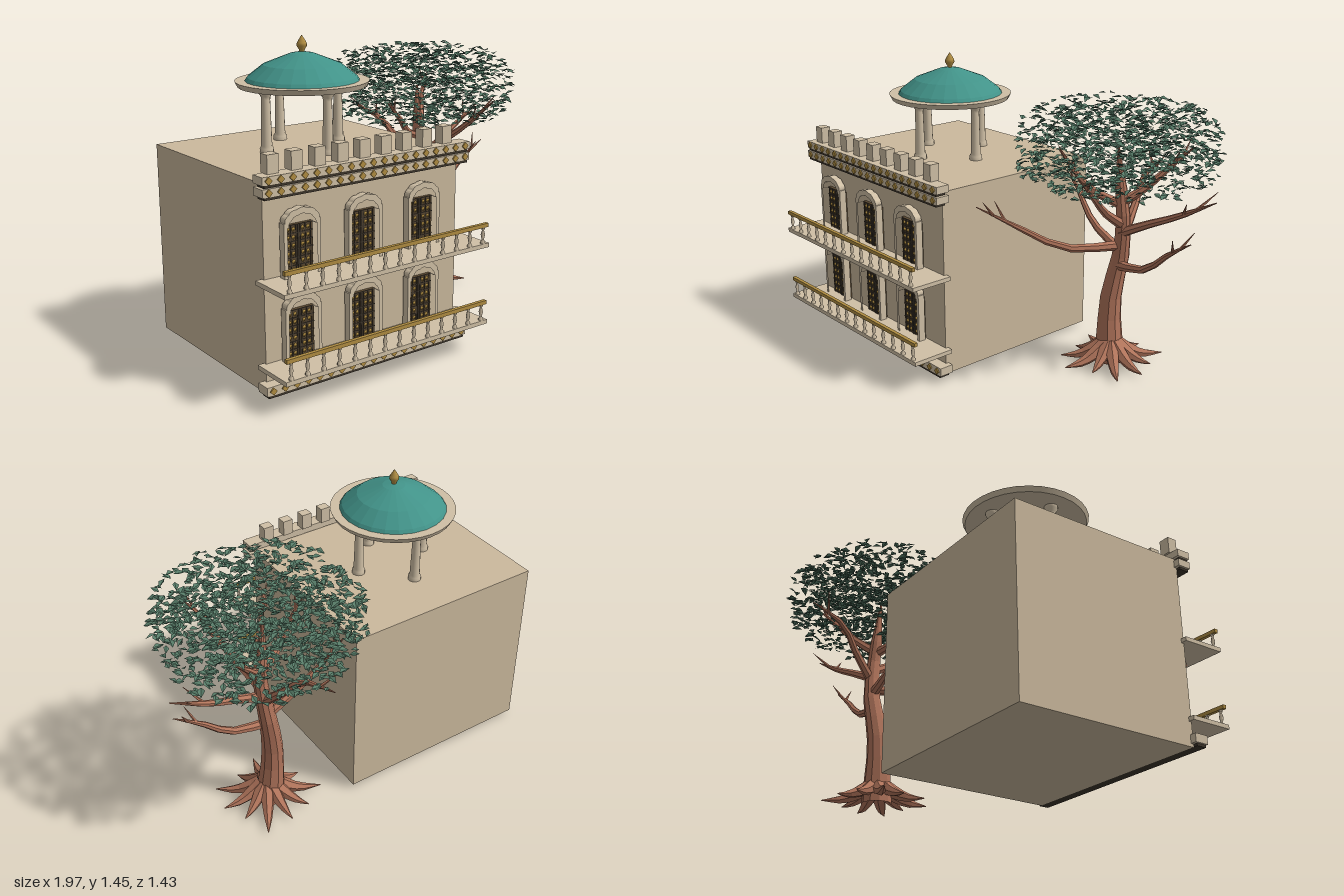
import * as THREE from 'three';
import { mergeGeometries } from 'three/addons/utils/BufferGeometryUtils.js';

const mat = (name, color, extra = {}) => new THREE.MeshStandardMaterial({ name, color, ...extra });

export function createModel() {
  const M = {
    stone: mat('sandstone', 0xcbb99d),
    trim: mat('pale stone', 0xd0c0a6),
    gold: mat('gold', 0xb08d42),
    wood: mat('dark wood', 0x5a4830),
    dark: mat('dark joint', 0x3d352b),
    teal: mat('teal dome', 0x429389, { flatShading: true }),
    bark: mat('bark', 0xb0745b, { flatShading: true }),
    leaf: mat('leaf green', 0x587d69, { flatShading: true, side: THREE.DoubleSide }),
  };
  const root = new THREE.Group();
  root.name = 'pavilionHouseWithTree';
  const group = (name, parent = root) => {
    const g = new THREE.Group();
    g.name = name;
    parent.add(g);
    return g;
  };
  const add = (parent, name, geo, material, x = 0, y = 0, z = 0) => {
    const m = new THREE.Mesh(geo, material);
    m.name = name;
    m.position.set(x, y, z);
    parent.add(m);
    return m;
  };
  // Box given by its limits on each axis
  const box = (parent, name, material, x0, x1, y0, y1, z0, z1) =>
    add(parent, name, new THREE.BoxGeometry(x1 - x0, y1 - y0, z1 - z0), material,
      (x0 + x1) / 2, (y0 + y1) / 2, (z0 + z1) / 2);
  const lathe = (pts, sides) =>
    new THREE.LatheGeometry(pts.map(([r, y]) => new THREE.Vector2(r, y)), sides);

  // House body
  const house = group('house');
  box(house, 'body', M.stone, -0.97, 0.07, 0.02, 0.93, -0.39, 0.53);

  // Decorated bands with diamonds
  const diamond = new THREE.CylinderGeometry(0.017, 0.017, 0.009, 4).rotateX(Math.PI / 2);
  for (const [y0, y1] of [[0.035, 0.075], [0.885, 0.92], [0.935, 0.97]]) {
    const band = group('frieze', house);
    box(band, 'friezeBand', M.trim, -1, 0.1, y0, y1, 0.515, 0.585);
    box(band, 'friezeJoint', M.dark, -0.99, 0.09, y0 - 0.012, y0, 0.53, 0.582);
    for (let i = 0; i < 19; i++)
      add(band, 'friezeDiamond', diamond, M.gold, -0.972 + i * 0.058, (y0 + y1) / 2, 0.587);
  }

  // Battlements
  for (let i = 0; i < 9; i++) {
    const x = -0.93 + i * 0.115;
    box(house, 'merlon', M.trim, x - 0.027, x + 0.027, 0.97, 1.05, 0.505, 0.555);
  }

  // Scalloped arch outline, w = half width, top = crown height
  const archPoints = (path, w, spring, top, step) => {
    path.moveTo(-w, 0);
    path.lineTo(-w, spring);
    path.lineTo(-w + step, spring);
    const a = w - step, h = top - spring, lobes = 5;
    const at = (i) => {
      const t = Math.PI * (1 - i / lobes);
      return [Math.cos(t) * a, spring + Math.sin(t) * h * 0.9];
    };
    for (let i = 0; i < lobes; i++) {
      const t = Math.PI * (1 - (i + 0.5) / lobes), [x, y] = at(i + 1);
      path.quadraticCurveTo(Math.cos(t) * a * 1.12, spring + Math.sin(t) * h * 1.1, x, y);
    }
    path.lineTo(w, spring);
    path.lineTo(w, 0);
    path.closePath();
    return path;
  };
  const frameShape = archPoints(new THREE.Shape(), 0.09, 0.235, 0.295, 0.006);
  frameShape.holes.push(archPoints(new THREE.Path(), 0.073, 0.215, 0.268, 0.008));
  const frameGeo = new THREE.ExtrudeGeometry(frameShape, { depth: 0.035, bevelEnabled: false, curveSegments: 5 });
  const stud = new THREE.CylinderGeometry(0.003, 0.009, 0.008, 6).rotateX(Math.PI / 2);

  // Pedestal-shaped baluster
  const balusterGeo = lathe([[0.011, 0], [0.011, 0.01], [0.005, 0.018], [0.01, 0.042], [0.005, 0.062], [0.01, 0.076]], 8);

  for (const floor of [0.155, 0.525]) {
    const storey = group('storey', house);
    // Doors and arches
    for (const x of [-0.81, -0.485, -0.16]) {
      const door = group('archedDoor', storey);
      door.position.set(x, floor, 0);
      box(door, 'doorPanel', M.wood, -0.073, 0.073, 0, 0.215, 0.53, 0.545);
      add(door, 'archFrame', frameGeo, M.trim, 0, 0, 0.545);
      box(door, 'doorSplit', M.dark, -0.004, 0.004, 0, 0.215, 0.545, 0.549);
      for (const s of [-1, 1])
        for (const e of [0.011, 0.036, 0.062])
          box(door, 'doorBar', M.dark, s * e - 0.002, s * e + 0.002, 0, 0.215, 0.545, 0.548);
      for (let r = 0; r < 6; r++) {
        const y = 0.02 + r * 0.035;
        box(door, 'doorRail', M.dark, -0.073, 0.073, y + 0.016, y + 0.02, 0.545, 0.548);
        for (const sx of [-0.049, -0.023, 0.023, 0.049])
          add(door, 'doorStud', stud, M.gold, sx, y, 0.549);
      }
    }
    // Balcony
    const balcony = group('balcony', storey);
    box(balcony, 'balconySlab', M.trim, -1, 0.1, floor - 0.02, floor, 0.515, 0.73);
    box(balcony, 'handrail', M.gold, -0.995, 0.095, floor + 0.076, floor + 0.094, 0.711, 0.729);
    for (let i = 0; i < 14; i++)
      add(balcony, 'baluster', balusterGeo, M.trim, -0.97 + i * 0.08, floor, 0.72);
    // Sloping wooden struts
    for (const x of [-0.82, -0.085]) {
      const strut = add(balcony, 'strut', new THREE.BoxGeometry(0.03, 0.03, 0.145), M.bark, x, floor - 0.054, 0.61);
      strut.rotation.x = -0.38;
    }
  }

  // Rooftop pavilion
  const pavilion = group('roofPavilion');
  pavilion.position.set(-0.455, 0, 0.065);
  const columnGeo = lathe([[0.032, 0.93], [0.032, 0.95], [0.025, 0.96], [0.02, 1.17], [0.022, 1.185], [0.033, 1.2], [0.033, 1.217]], 12);
  for (const [x, z] of [[0.197, 0], [-0.197, 0], [0, 0.197], [0, -0.197]])
    add(pavilion, 'column', columnGeo, M.trim, x, 0, z);
  add(pavilion, 'roofRing', new THREE.CylinderGeometry(0.307, 0.295, 0.025, 32), M.trim, 0, 1.228, 0);
  add(pavilion, 'dome', lathe([[0.263, 1.238], [0.25, 1.257], [0.178, 1.313], [0.055, 1.361], [0, 1.371]], 24), M.teal);
  add(pavilion, 'finial', lathe([[0.012, 1.365], [0.012, 1.375], [0.024, 1.395], [0.022, 1.408], [0.009, 1.43], [0, 1.443]], 12), M.gold);

  // Tapered limb through points [x, y, z, radius]
  const limbGeo = (pts, sides = 7) => {
    const curve = new THREE.CatmullRomCurve3(pts.map((p) => new THREE.Vector3(p[0], p[1], p[2])));
    const n = (pts.length - 1) * 2;
    const g = new THREE.TubeGeometry(curve, n, 1, sides);
    const pos = g.attributes.position, v = new THREE.Vector3();
    for (let i = 0; i <= n; i++) {
      const c = curve.getPointAt(i / n), k = Math.min(i / 2, pts.length - 1.001), f = Math.floor(k);
      const r = THREE.MathUtils.lerp(pts[f][3], pts[f + 1][3], k - f);
      for (let j = 0; j <= sides; j++) {
        const q = i * (sides + 1) + j;
        v.fromBufferAttribute(pos, q).sub(c).multiplyScalar(r).add(c);
        pos.setXYZ(q, v.x, v.y, v.z);
      }
    }
    return g;
  };
  const tree = group('tree');
  add(tree, 'trunk', limbGeo([[0.445, 0, -0.2, 0.075], [0.43, 0.32, -0.215, 0.058], [0.465, 0.56, -0.24, 0.048],
    [0.485, 0.75, -0.225, 0.038], [0.47, 0.9, -0.22, 0.03], [0.455, 1.09, -0.21, 0.005]], 10), M.bark);

  // Spreading roots
  for (let i = 0; i < 11; i++) {
    const a = (i / 11) * Math.PI * 2 + 0.1, len = 0.235 + 0.035 * Math.sin(i * 2.3);
    const at = (r, y, w) => [0.455 + Math.cos(a) * r, y, -0.195 + Math.sin(a) * r, w];
    add(tree, 'root', limbGeo([at(0.03, 0.1, 0.034), at(0.09, 0.055, 0.032), at(0.16, 0.024, 0.02), at(len, 0.016, 0.002)], 6), M.bark);
  }

  // Branches, each with two twigs near its tip
  const branches = [
    [[0.45, 0.5, -0.22], [0.64, 0.53, -0.21], [0.79, 0.65, -0.21], [0.92, 0.735, -0.2]],
    [[0.48, 0.67, -0.22], [0.62, 0.74, -0.25], [0.77, 0.81, -0.28], [0.97, 0.92, -0.3]],
    [[0.46, 0.6, -0.22], [0.36, 0.625, 0.04], [0.2, 0.75, 0.24], [0.1, 0.83, 0.36]],
    [[0.46, 0.57, -0.24], [0.28, 0.66, -0.24], [0.18, 0.75, -0.26], [0.07, 0.87, -0.28]],
    [[0.48, 0.66, -0.24], [0.44, 0.78, -0.36], [0.4, 0.88, -0.45], [0.36, 0.94, -0.65]],
    [[0.48, 0.72, -0.21], [0.53, 0.82, -0.05], [0.58, 0.92, 0.07], [0.62, 1.05, 0.21]],
    [[0.48, 0.81, -0.22], [0.35, 0.86, -0.16], [0.27, 0.94, -0.12], [0.17, 1.04, -0.1]],
    [[0.48, 0.82, -0.22], [0.56, 0.9, -0.3], [0.63, 1.0, -0.38], [0.72, 1.1, -0.44]],
  ];
  for (const b of branches) {
    const r = [0.025, 0.019, 0.014, 0.002];
    add(tree, 'branch', limbGeo(b.map((p, i) => [...p, r[i]])), M.bark);
    const [p, q] = [b[2], b[3]], d = q.map((c, i) => c - p[i]);
    for (const s of [-1, 1]) {
      const s0 = p.map((c, i) => c + d[i] * (s > 0 ? 0.15 : 0.5));
      const s1 = [s0[0] + d[0] * 0.3 - s * d[2] * 0.35, s0[1] + 0.08, s0[2] + d[2] * 0.3 + s * d[0] * 0.35];
      add(tree, 'twig', limbGeo([[...s0, 0.009], [...s1, 0.001]], 5), M.bark);
    }
  }

  // Foliage: folded leaves scattered through a flattened crown
  let seed = 7;
  const rnd = () => (seed = (seed * 16807) % 2147483647) / 2147483647;
  const leaf = new THREE.BufferGeometry();
  leaf.setAttribute('position', new THREE.Float32BufferAttribute([
    0, 0, -0.024, -0.015, 0.006, -0.003, 0, -0.002, 0.026, 0.015, 0.006, -0.003], 3));
  leaf.setIndex([0, 1, 2, 0, 2, 3]);
  const leaves = [], o = new THREE.Object3D();
  while (leaves.length < 1500) {
    const x = rnd() * 2 - 1, y = rnd() * 2 - 1, z = rnd() * 2 - 1, d = x * x + z * z;
    if (d * d + Math.abs(y) ** 3 > 1) continue;
    o.position.set(0.465 + x * 0.485, 1.095 + y * 0.205, -0.2 + z * 0.485);
    o.rotation.set((rnd() - 0.5) * 0.9, rnd() * Math.PI * 2, (rnd() - 0.5) * 0.9, 'YXZ');
    o.scale.setScalar(0.8 + rnd() * 0.35);
    o.updateMatrix();
    leaves.push(leaf.clone().applyMatrix4(o.matrix));
  }
  const foliageGeo = mergeGeometries(leaves);
  foliageGeo.computeVertexNormals();
  add(tree, 'foliage', foliageGeo, M.leaf);

  return root;
}
